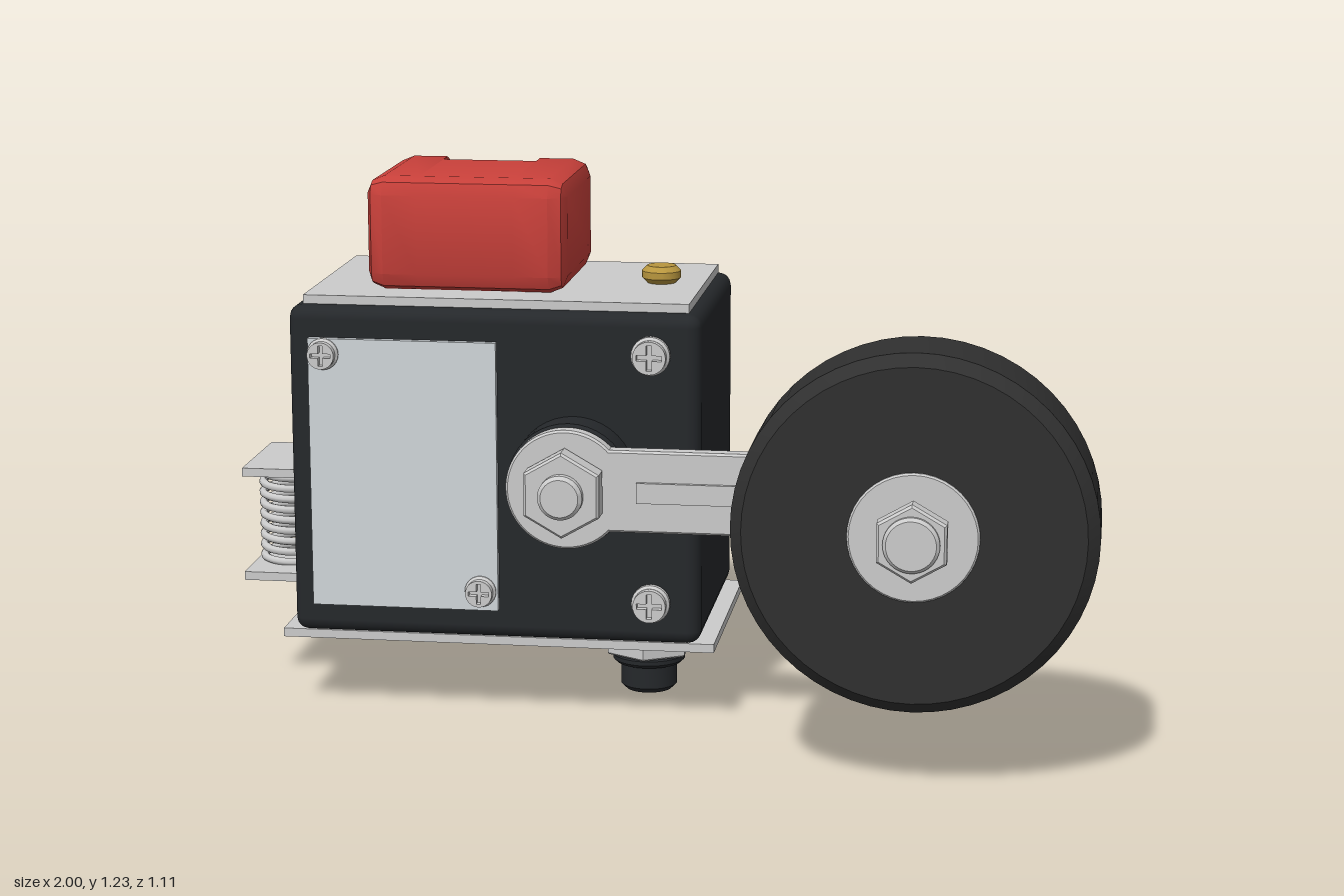
import * as THREE from 'three';
import { toCreasedNormals } from 'three/addons/utils/BufferGeometryUtils.js';
import { RoundedBoxGeometry } from 'three/addons/geometries/RoundedBoxGeometry.js';

const mat = (color) => new THREE.MeshStandardMaterial({ color });
const metal = mat(0xcccccc), black = mat(0x25282b), rubber = mat(0x303030);
const red = mat(0xc8403a), brass = mat(0xb8963e), label = mat(0xd0d6da);

export function createModel() {
  const root = new THREE.Group();
  const add = (name, geo, material, x = 0, y = 0, z = 0, parent = root) => {
    const mesh = new THREE.Mesh(geo, material);
    mesh.name = name;
    mesh.position.set(x, y, z);
    parent.add(mesh);
    return mesh;
  };

  // Box given by its limits on each axis
  const box = (name, material, [x0, x1], [y0, y1], [z0, z1], parent) =>
    add(name, new THREE.BoxGeometry(x1 - x0, y1 - y0, z1 - z0), material,
      (x0 + x1) / 2, (y0 + y1) / 2, (z0 + z1) / 2, parent);

  // Chamfered disc from a to b along y; hexagonal when sides = 6
  const disc = (r, a, b, c = 0.01, sides = 40) => {
    const pts = [[0, a], [r - c, a], [r, a + c], [r, b - c], [r - c, b], [0, b]];
    const geo = new THREE.LatheGeometry(pts.map((p) => new THREE.Vector2(...p)), sides);
    return toCreasedNormals(geo, 0.5);
  };
  // The same disc along z
  const discZ = (...args) => disc(...args).rotateX(Math.PI / 2);

  // Housing and its cover plates
  const body = new RoundedBoxGeometry(0.94, 0.76, 0.6, 2, 0.03);
  add('housing', body, black, -0.37, 0.57, -0.25);
  box('basePlate', metal, [-0.87, 0.13], [0.17, 0.19], [-0.535, 0.03]);
  box('topPlate', metal, [-0.81, 0.07], [0.95, 0.97], [-0.52, 0.015]);
  box('frontPanel', label, [-0.79, -0.36], [0.26, 0.88], [0.045, 0.065]);

  // Cross-head screws
  const screw = (x, y, r) => {
    const g = new THREE.Group();
    g.name = 'screw';
    g.position.set(x, y, 0.05);
    root.add(g);
    add('screwBase', discZ(r, 0, 0.025, 0.006, 24), metal, 0, 0, 0, g);
    const head = new THREE.Shape().absarc(0, 0, r * 0.85, 0, Math.PI * 2);
    const w = r * 0.14, l = r * 0.65;
    const cross = [[w, w], [w, l], [-w, l], [-w, w], [-l, w], [-l, -w],
      [-w, -w], [-w, -l], [w, -l], [w, -w], [l, -w], [l, w]];
    head.holes.push(new THREE.Path(cross.map((p) => new THREE.Vector2(...p))));
    const geo = new THREE.ExtrudeGeometry(head, { depth: 0.017, bevelEnabled: false, curveSegments: 16 });
    add('screwHead', toCreasedNormals(geo, 0.5), metal, 0, 0, 0.025, g);
  };
  screw(-0.755, 0.845, 0.036);
  screw(-0.4, 0.305, 0.036);
  screw(-0.01, 0.86, 0.044);
  screw(-0.01, 0.29, 0.044);

  // Cap with a notch in its rear top edge, and the small brass button
  add('cap', notchedCap(), red, -0.45, 1.1, -0.2525);
  add('button', disc(0.045, 0, 0.04, 0.012), brass, -0.03, 0.97, -0.26);

  // Pivot: bearing, nut and bolt
  const px = -0.185, py = 0.575;
  add('pivotBearing', discZ(0.14, 0.03, 0.137, 0.012), black, px, py);
  add('pivotNut', discZ(0.097, 0.175, 0.235, 0.006, 6), metal, px, py);
  add('pivotBolt', discZ(0.05, 0.2, 0.26, 0.008), metal, px, py);

  // Lever arm with round ends and a centre rib
  const wx = 0.605, wy = 0.572;
  const ang = Math.asin(0.088 / 0.13);
  const arm = new THREE.Shape();
  arm.absarc(px, py, 0.13, ang, Math.PI * 2 - ang);
  arm.absarc(wx, py, 0.13, Math.PI + ang, Math.PI * 3 - ang);
  const armGeo = new THREE.ExtrudeGeometry(arm, {
    depth: 0.03, bevelThickness: 0.005, bevelSize: 0.005, bevelSegments: 1, curveSegments: 32,
  });
  add('leverArm', toCreasedNormals(armGeo, 0.5), metal, 0, 0, 0.14);
  box('armRib', metal, [-0.025, 0.41], [0.552, 0.598], [0.17, 0.185]);

  // Roller wheel on its axle
  const wheel = new THREE.Group();
  wheel.name = 'wheel';
  wheel.position.set(wx, wy, 0);
  root.add(wheel);
  add('tyre', discZ(0.39, 0.245, 0.48, 0.026, 56), rubber, 0, 0, 0, wheel);
  add('wheelHub', discZ(0.14, 0.238, 0.487, 0.004), metal, 0, 0, 0, wheel);
  add('axle', discZ(0.062, 0.16, 0.51, 0.005), metal, 0, 0, 0, wheel);
  add('axleNut', discZ(0.085, 0.493, 0.54, 0.006, 6), metal, 0, 0, 0, wheel);
  add('axleEnd', discZ(0.06, 0.53, 0.555, 0.007), metal, 0, 0, 0, wheel);

  // Cable gland underneath
  const gx = -0.058, gz = -0.25;
  add('glandNut', disc(0.105, 0.09, 0.172, 0.004, 6), metal, gx, 0, gz);
  add('glandCollar', disc(0.085, 0.066, 0.092, 0.008), black, gx, 0, gz);
  add('glandTip', disc(0.066, 0, 0.075, 0.012), black, gx, 0, gz);

  // Side spring between two tabs
  for (const y of [0.26, 0.51])
    box('springTab', metal, [-1, -0.83], [y, y + 0.02], [-0.4, -0.12]);
  const turns = 9, coil = [];
  for (let i = 0; i <= turns * 12; i++) {
    const a = (i / 12) * Math.PI * 2;
    coil.push(new THREE.Vector3(Math.cos(a) * 0.063, 0.28 + 0.23 * i / (turns * 12), Math.sin(a) * 0.063));
  }
  const springGeo = new THREE.TubeGeometry(new THREE.CatmullRomCurve3(coil), turns * 28, 0.0095, 8);
  add('spring', springGeo, metal, -0.922, 0, -0.26);

  return root;
}

// Rounded box lofted along x, with a step cut from the middle of its rear top edge
function notchedCap() {
  const hx = 0.23, hy = 0.13, hz = 0.2025, r = 0.04, n = 0.11;
  const ring = (x, inset, notch) => {
    const pts = [], c = r - inset;
    // Corners in order: front top, rear top, rear bottom, front bottom
    [[1, 1], [-1, 1], [-1, -1], [1, -1]].forEach(([sz, sy], k) => {
      for (let j = 0; j < 3; j++) {
        const a = (k + j / 2) * Math.PI / 2;
        pts.push([x, sy * (hy - r) + c * Math.sin(a), sz * (hz - r) + c * Math.cos(a)]);
      }
    });
    if (notch) {
      const z = -hz + 0.09, y = hy - 0.07;
      pts.splice(3, 3, [x, hy, z], [x, y, z], [x, y, -hz]);
    }
    return pts;
  };
  const half = [[hx, r], [hx - r * 0.29, r * 0.29], [hx - r, 0]];
  const rings = [
    ...half.map(([x, i]) => ring(-x, i)),
    ring(-n, 0), ring(-n, 0, true), ring(n, 0, true), ring(n, 0),
    ...half.reverse().map(([x, i]) => ring(x, i)),
  ];
  const m = 12, index = [], last = (rings.length - 1) * m;
  for (let i = 0; i < rings.length - 1; i++)
    for (let j = 0; j < m; j++) {
      const a = i * m + j, b = i * m + (j + 1) % m;
      index.push(a, a + m, b, b, a + m, b + m);
    }
  for (let j = 1; j < m - 1; j++)
    index.push(0, j, j + 1, last, last + j + 1, last + j);
  const geo = new THREE.BufferGeometry();
  geo.setAttribute('position', new THREE.Float32BufferAttribute(rings.flat(2), 3));
  geo.setIndex(index);
  return toCreasedNormals(geo, 0.5);
}
